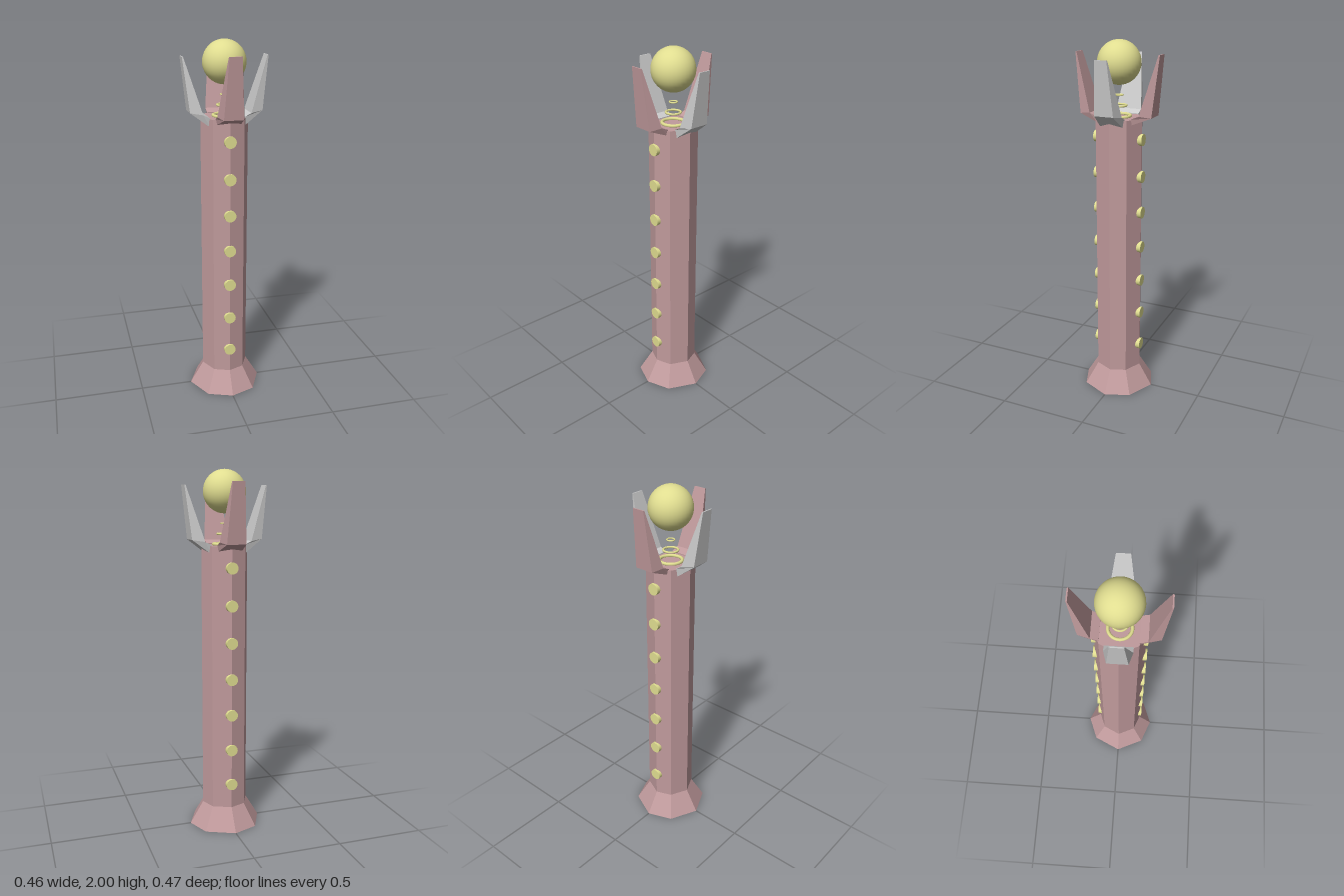
import * as THREE from 'three';

const pink = new THREE.MeshStandardMaterial({ color: 0xc09a9c, flatShading: true });
const grey = new THREE.MeshStandardMaterial({ color: 0xcccccc, flatShading: true });
const yellow = new THREE.MeshStandardMaterial({ color: 0xe0dd90 });

function add(parent, name, geometry, material, x = 0, y = 0, z = 0) {
  const mesh = new THREE.Mesh(geometry, material);
  mesh.name = name;
  mesh.position.set(x, y, z);
  parent.add(mesh);
  return mesh;
}

// Eight-sided shaft with a flared foot; the diagonal corners are slightly uneven
function columnGeometry() {
  const profile = [[0, 0], [0.207, 0], [0.131, 0.125], [0.131, 1.6], [0, 1.6]]
    .map(([r, y]) => new THREE.Vector2(r, y));
  const geometry = new THREE.LatheGeometry(profile, 8);
  const p = geometry.attributes.position;
  for (let i = 0; i < p.count; i++) {
    const x = p.getX(i), z = p.getZ(i);
    if (Math.abs(x) < 0.02 || Math.abs(z) < 0.02) continue;
    const backRight = x > 0 && z < 0;
    p.setX(i, x * (backRight ? 1.06 : 0.92));
    p.setZ(i, z * (backRight ? 0.92 : 1.06));
  }
  geometry.computeVertexNormals();
  return geometry;
}

// Claw pointing along +x: a box whose three rows become root, knee and tip.
// Each row holds [x, y, half width] for its inner and its outer edge.
function clawGeometry(rows) {
  const geometry = new THREE.BoxGeometry(1, 2, 1, 1, 2, 1);
  const p = geometry.attributes.position;
  for (let i = 0; i < p.count; i++) {
    const row = rows[Math.round(p.getY(i)) + 1];
    const [x, y, half] = row[p.getX(i) > 0 ? 1 : 0];
    p.setXYZ(i, x, y, Math.sign(p.getZ(i)) * half);
  }
  geometry.computeVertexNormals();
  return geometry;
}

export function createModel() {
  const model = new THREE.Group();
  model.name = 'tower';

  add(model, 'column', columnGeometry(), pink);

  // Four claws: grey at the sides, pink at front and back
  const sideClaw = clawGeometry([
    [[0.095, 1.605, 0.072], [0.095, 1.557, 0.066]],
    [[0.13, 1.622, 0.072], [0.196, 1.632, 0.053]],
    [[0.224, 1.917, 0.035], [0.23, 1.917, 0.033]],
  ]);
  const frontClaw = clawGeometry([
    [[0.098, 1.605, 0.072], [0.098, 1.572, 0.066]],
    [[0.14, 1.622, 0.072], [0.203, 1.613, 0.053]],
    [[0.23, 1.932, 0.035], [0.237, 1.932, 0.033]],
  ]);
  ['leftClaw', 'backClaw', 'rightClaw', 'frontClaw'].forEach((name, i) => {
    const side = i % 2 === 0;
    const claw = add(model, name, side ? sideClaw : frontClaw, side ? grey : pink);
    claw.rotation.y = i * Math.PI / 2;
  });

  // Floating orb and the shrinking rings beneath it
  add(model, 'orb', new THREE.SphereGeometry(0.116, 32, 20), yellow, 0, 1.884, 0);
  [[0.06, 0.009, 1.605], [0.039, 0.006, 1.66], [0.02, 0.004, 1.715]].forEach(([r, tube, y], i) => {
    const ring = add(model, 'ring' + (i + 1), new THREE.TorusGeometry(r, tube, 8, 32), yellow, 0, y, 0);
    ring.rotation.x = Math.PI / 2;
  });

  // Rows of round studs down the front and back edges
  const stud = new THREE.CylinderGeometry(0.032, 0.032, 0.03, 24).rotateX(Math.PI / 2);
  for (const [name, side] of [['frontStud', 1], ['backStud', -1]]) {
    for (let i = 0; i < 7; i++) {
      add(model, name + (i + 1), stud, yellow, 0, 0.265 + i * 0.2033, side * 0.126);
    }
  }
  return model;
}
